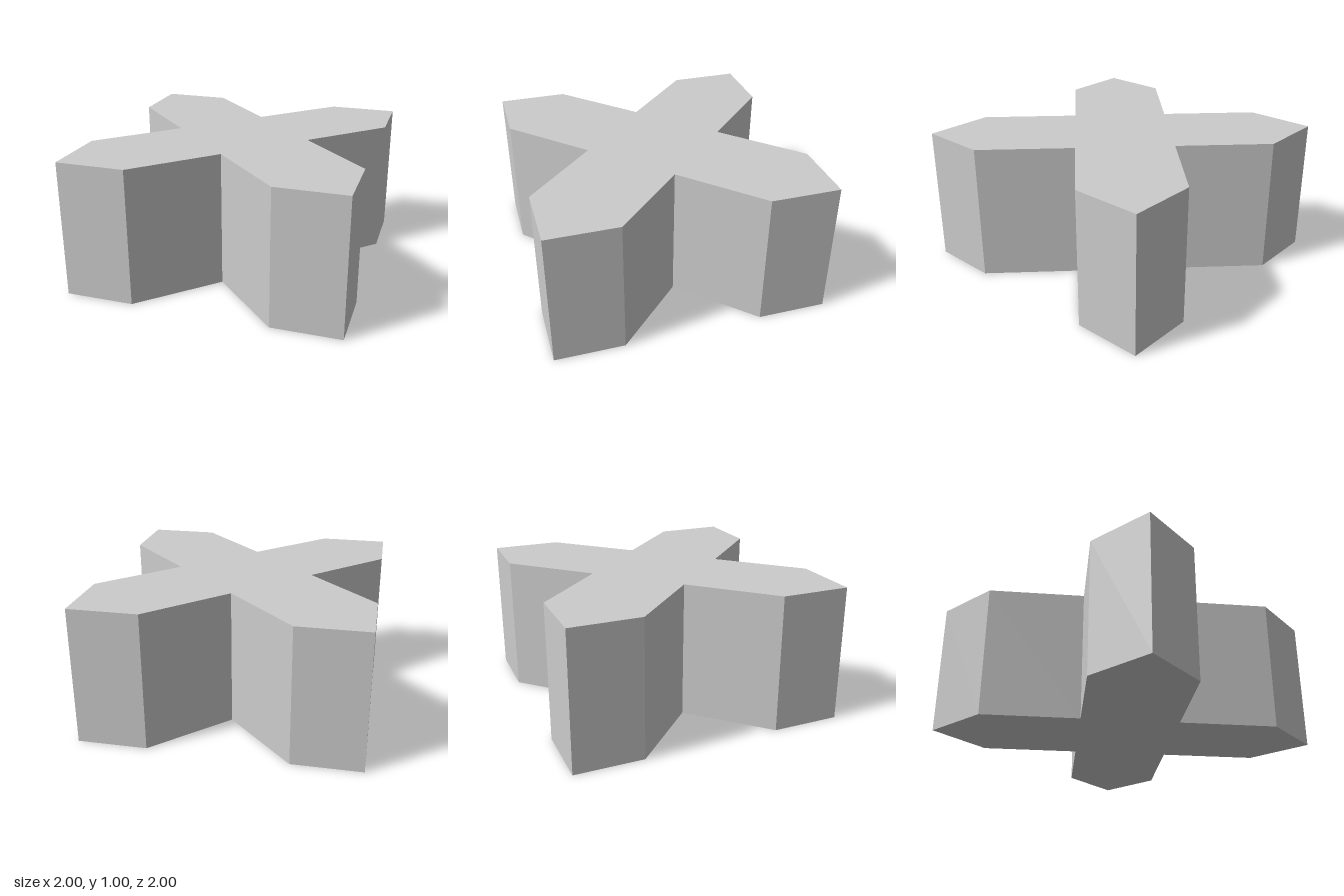
import * as THREE from 'three';

export function createModel() {
  const group = new THREE.Group();
  group.name = 'crossBlock';

  // Outline: one arm (inner notch, two shoulders around a square corner) turned four times
  const arm = [[0.5, 0], [1, 0.5], [1, 1], [0.5, 1]];
  const points = [];
  for (let i = 0; i < 4; i++) {
    for (const [x, y] of arm) {
      let p = [x, y];
      for (let k = 0; k < i; k++) p = [-p[1], p[0]];
      points.push(new THREE.Vector2(p[0], p[1]));
    }
  }

  // Extrude the X-shaped outline and stand it upright on the ground
  const geometry = new THREE.ExtrudeGeometry(new THREE.Shape(points), {
    depth: 1,
    bevelEnabled: false,
  });
  geometry.rotateX(-Math.PI / 2);

  const material = new THREE.MeshStandardMaterial({ color: 0xcccccc, flatShading: true });
  const body = new THREE.Mesh(geometry, material);
  body.name = 'crossBody';
  group.add(body);
  return group;
}
